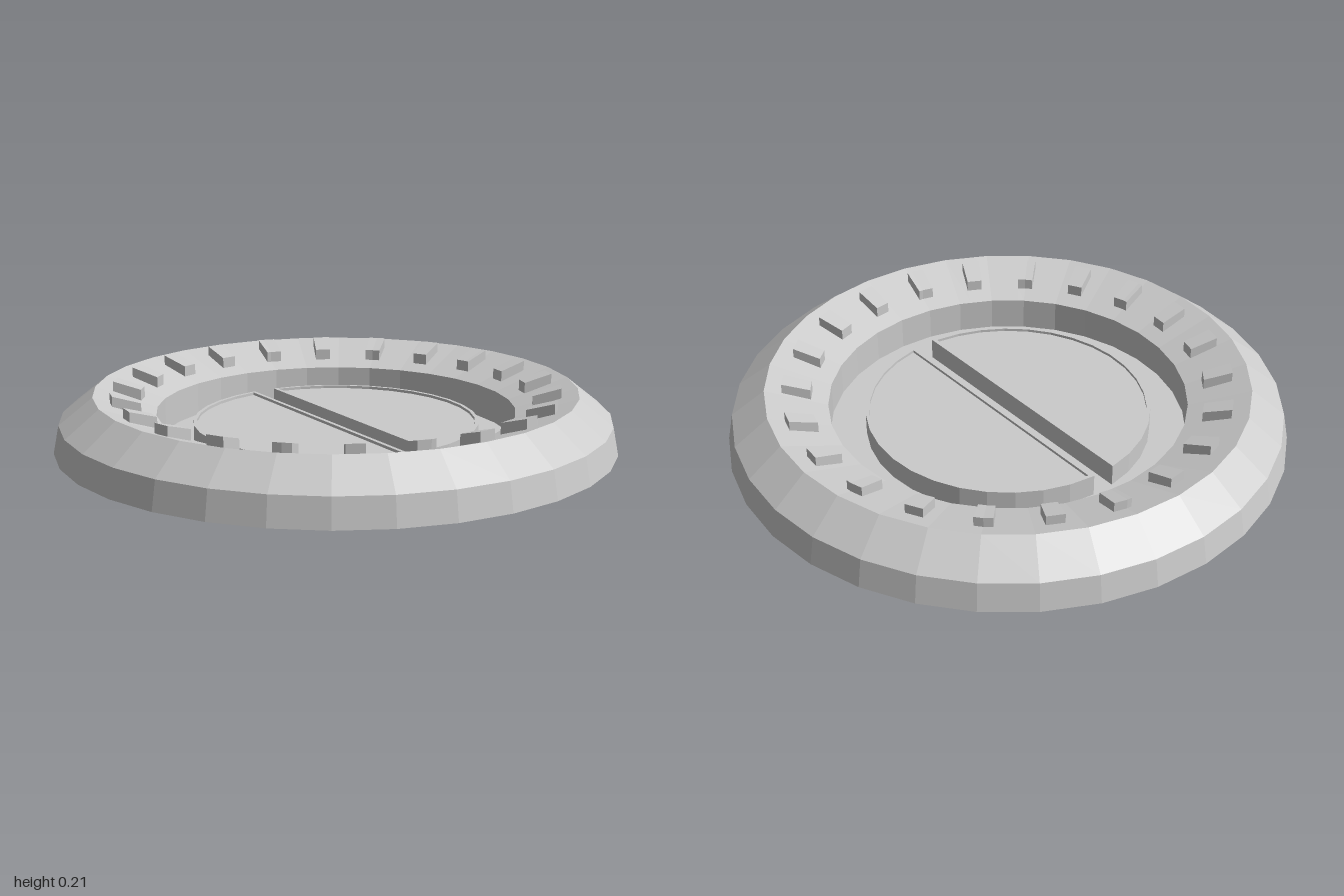
import * as THREE from 'three';

const SIDES = 32, TEETH = 22, TOOTH_HALF = 0.04;
const STEP = (Math.PI * 2) / SIDES;
const material = new THREE.MeshStandardMaterial({ color: 0xcccccc, flatShading: true, side: THREE.DoubleSide });

function part(name, geometry) {
  const mesh = new THREE.Mesh(geometry, material);
  mesh.name = name;
  return mesh;
}

// Geometry from a list of quads, each four points counter-clockwise from outside
function fromQuads(quads) {
  const pos = [];
  for (const [a, b, c, d] of quads) for (const p of [a, b, c, a, c, d]) pos.push(...p);
  const g = new THREE.BufferGeometry();
  g.setAttribute('position', new THREE.Float32BufferAttribute(pos, 3));
  g.computeVertexNormals();
  return g;
}

function lathe(points) {
  return new THREE.LatheGeometry(points.map(p => new THREE.Vector2(...p)), SIDES);
}

// Point on the many-sided ring of corner radius r
function ringPoint(r, a, y) {
  const local = a - Math.floor(a / STEP) * STEP - STEP / 2;
  const k = (r * Math.cos(STEP / 2)) / Math.cos(local);
  return [k * Math.sin(a), y, k * Math.cos(a)];
}

const slopeY = r => 0.12 + ((r - 0.64) / 0.22) * 0.075;
const toothY = r => 0.18 + (r - 0.7) * 0.3;

// Sloped inner ring with openings under the hollow teeth
function slopedRingAndTeeth() {
  const centres = Array.from({ length: TEETH }, (_, i) => ((i + 0.25) / TEETH) * Math.PI * 2);
  const angles = Array.from({ length: SIDES + 1 }, (_, i) => i * STEP);
  for (const c of centres) angles.push(c - TOOTH_HALF, c + TOOTH_HALF);
  angles.sort((a, b) => a - b);

  const ring = [], teeth = [];
  const patch = (list, r0, r1, a0, a1, h) => list.push([
    ringPoint(r0, a0, h(r0)), ringPoint(r1, a0, h(r1)),
    ringPoint(r1, a1, h(r1)), ringPoint(r0, a1, h(r0))]);
  const wall = (r0, a0, r1, a1) => teeth.push([
    ringPoint(r0, a0, slopeY(r0)), ringPoint(r1, a1, slopeY(r1)),
    ringPoint(r1, a1, toothY(r1)), ringPoint(r0, a0, toothY(r0))]);

  for (let i = 0; i < angles.length - 1; i++) {
    const a0 = angles[i], a1 = angles[i + 1];
    if (a1 - a0 < 1e-6) continue;
    const mid = (a0 + a1) / 2;
    if (centres.some(c => Math.abs(c - mid) < TOOTH_HALF)) {
      patch(ring, 0.64, 0.7, a0, a1, slopeY);
      patch(ring, 0.8, 0.86, a0, a1, slopeY);
      patch(teeth, 0.7, 0.8, a0, a1, toothY);
      wall(0.8, a0, 0.8, a1);
      wall(0.7, a1, 0.7, a0);
    } else patch(ring, 0.64, 0.86, a0, a1, slopeY);
  }
  for (const c of centres) {
    wall(0.7, c - TOOTH_HALF, 0.8, c - TOOTH_HALF);
    wall(0.8, c + TOOTH_HALF, 0.7, c + TOOTH_HALF);
  }
  return [part('slopedRing', fromQuads(ring)), part('teeth', fromQuads(teeth))];
}

// Outline of a half disc on the given side, as [x, z] points
function halfOutline(side, r, x0) {
  const end = Math.acos(x0 / r);
  return Array.from({ length: 17 }, (_, i) => {
    const t = side * (-end + (2 * end * i) / 16);
    return [side * r * Math.cos(t), side * r * Math.sin(t)];
  });
}

// Flat horizontal face, with optional holes
function flatFace(outline, y, holes = []) {
  const vec = pts => pts.map(([x, z]) => new THREE.Vector2(x, -z));
  const shape = new THREE.Shape(vec(outline));
  for (const h of holes) shape.holes.push(new THREE.Path(vec(h)));
  return new THREE.ShapeGeometry(shape).rotateX(-Math.PI / 2).translate(0, y, 0);
}

// Closed band between two outlines at two heights
function band(lower, y0, upper, y1) {
  return lower.map((p, i) => {
    const j = (i + 1) % lower.length, q = lower[j], u = upper[i], v = upper[j];
    return [[q[0], y0, q[1]], [p[0], y0, p[1]], [u[0], y1, u[1]], [v[0], y1, v[1]]];
  });
}

// Hollow half disc with a thin rim around a slightly sunken panel
function halfDisc(side, name) {
  const outer = halfOutline(side, 0.51, 0.042);
  const inner = halfOutline(side, 0.497, 0.056);
  const group = new THREE.Group();
  group.name = name;
  group.add(
    part('discRim', fromQuads([
      ...band(outer, 0, outer, 0.08),
      ...band(outer, 0.08, inner, 0.08),
      ...band(inner, 0.08, inner, 0.07)])),
    part('discPanel', flatFace(inner, 0.07)));
  return group;
}

export function createModel() {
  const model = new THREE.Group();
  model.name = 'toothedDial';

  // Outer skirt and bevel, and the wall of the central well
  model.add(part('outerRim', lathe([[1, 0], [0.98, 0.1], [0.86, 0.195]])));
  model.add(part('wellWall', lathe([[0.64, 0.12], [0.64, 0]])));
  model.add(...slopedRingAndTeeth());

  // Well floor, open beneath the two half discs
  const floorEdge = Array.from({ length: SIDES }, (_, i) => {
    const p = ringPoint(0.64, i * STEP, 0);
    return [p[0], p[2]];
  });
  const holes = [1, -1].map(s => halfOutline(s, 0.51, 0.042));
  model.add(part('wellFloor', flatFace(floorEdge, 0, holes)));
  model.add(halfDisc(1, 'leftHalfDisc'), halfDisc(-1, 'rightHalfDisc'));
  return model;
}
